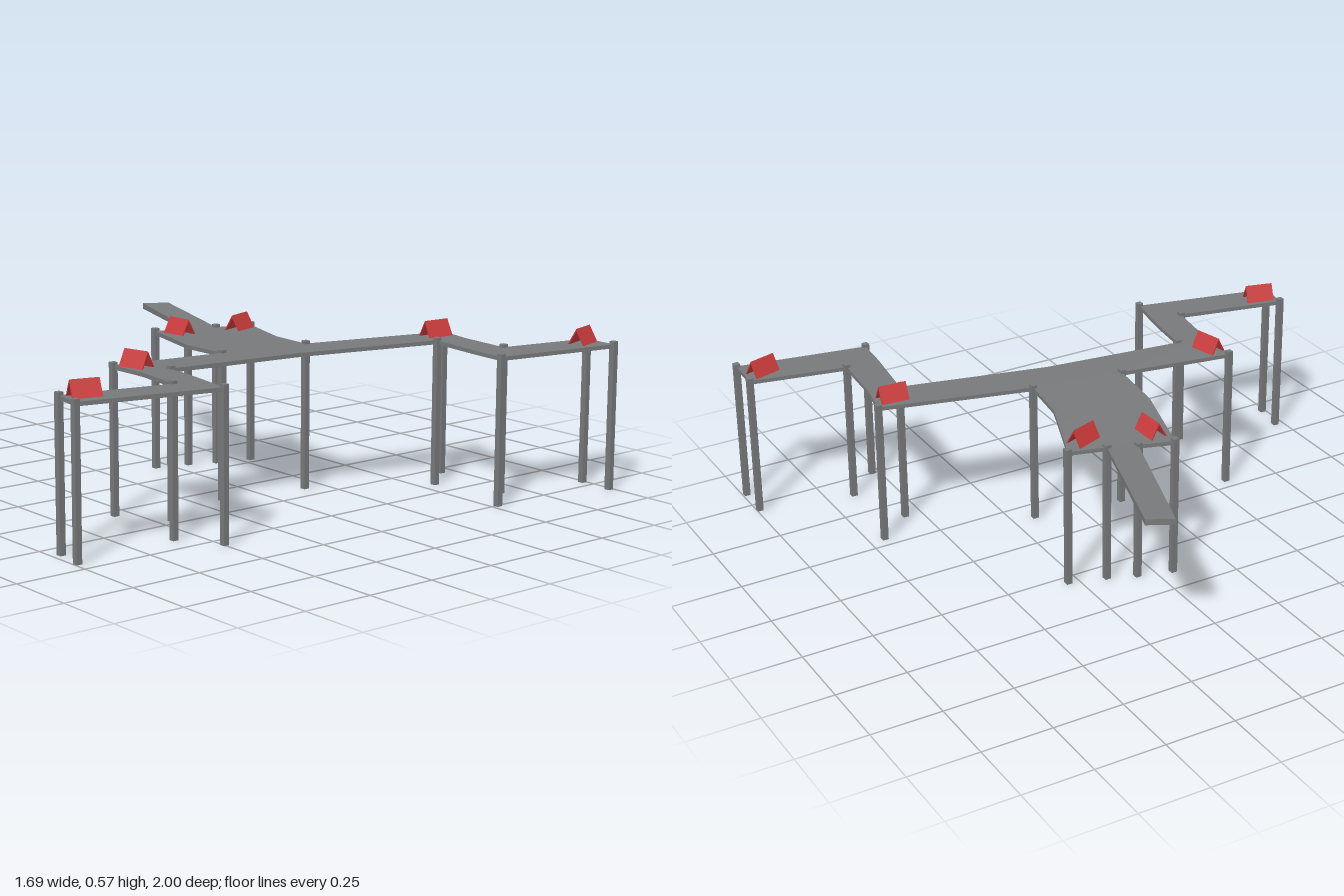
import * as THREE from 'three';

const grey = new THREE.MeshStandardMaterial({ color: 0x77797b, flatShading: true });
const red = new THREE.MeshStandardMaterial({ color: 0xc83a3a, flatShading: true, side: THREE.DoubleSide });

// Walkway outline as [x, z]
const outline = [
  [0.703, -0.989], [0.835, -0.985], [0.752, -0.525], [0.632, -0.533], [0.402, -0.561],
  [0.28, -0.05], [0.217, 0.453], [0.362, 0.468], [0.556, 0.498], [0.442, 0.987],
  [0.327, 0.969], [0.412, 0.589], [0.21, 0.563], [0.047, 0.562], [0.112, 0.157],
  [-0.10, 0.142], [-0.40, 0.057], [-0.36, -0.063], [-0.85, -0.223], [-0.805, -0.308],
  [-0.323, -0.16], [-0.287, -0.288], [-0.015, -0.188], [0.163, -0.168], [0.297, -0.694],
  [0.437, -0.668], [0.634, -0.653],
];

// Support posts as [x, z]
const posts = [
  [-0.398, 0.057], [-0.363, -0.063], [-0.323, -0.16], [-0.285, -0.288], [0.049, 0.562],
  [0.112, 0.157], [0.164, -0.168], [0.22, 0.453], [0.296, -0.694], [0.327, 0.969],
  [0.405, -0.561], [0.41, 0.589], [0.442, 0.987], [0.556, 0.498], [0.635, -0.653],
  [0.706, -0.989], [0.753, -0.525], [0.834, -0.985],
];

// Tents as [x, z, ridge direction x, ridge direction z]
const tents = [
  [0.748, -0.922, 0.28, 0.96], [0.333, -0.622, -0.08, 1], [-0.242, -0.203, 0.35, 1],
  [-0.306, 0.018, 1, -0.06], [0.119, 0.519, 1, -0.25], [0.388, 0.914, -0.27, 1],
];

// Height of the deck top: level on the right, dipping gently to the left
function deckTop(x) {
  if (x < -0.6) return 0.509;
  return 0.501 + 0.012 * THREE.MathUtils.smoothstep(x, -0.3, 0.15);
}

function makeDeck() {
  const shape = new THREE.Shape(outline.map(([x, z]) => new THREE.Vector2(x, -z)));
  const geo = new THREE.ExtrudeGeometry(shape, { depth: 1, bevelEnabled: false });
  geo.rotateX(-Math.PI / 2);
  const p = geo.attributes.position;
  for (let i = 0; i < p.count; i++) {
    const x = p.getX(i);
    const thickness = x < -0.6 ? 0.021 : 0.014;
    p.setY(i, deckTop(x) - (p.getY(i) > 0.5 ? 0 : thickness));
  }
  geo.computeVertexNormals();
  const deck = new THREE.Mesh(geo, grey);
  deck.name = 'walkwayDeck';
  return deck;
}

// Open-ended folded roof, ridge along z
function tentGeometry() {
  const w = 0.031, h = 0.056, t = 0.005;
  const s = new THREE.Shape([
    [-w, 0], [-w + t, 0], [0, h - t * 1.8], [w - t, 0], [w, 0], [0, h],
  ].map(([x, y]) => new THREE.Vector2(x, y)));
  return new THREE.ExtrudeGeometry(s, { depth: 0.1, bevelEnabled: false }).translate(0, 0, -0.05);
}

export function createModel() {
  const model = new THREE.Group();
  model.name = 'raisedWalkway';
  model.add(makeDeck());

  // Square posts, standing slightly proud of the deck
  const postGroup = new THREE.Group();
  postGroup.name = 'posts';
  for (const [x, z] of posts) {
    const h = deckTop(x) + 0.011;
    const post = new THREE.Mesh(new THREE.BoxGeometry(0.021, h, 0.021), grey);
    post.position.set(x, h / 2, z);
    post.name = 'post';
    postGroup.add(post);
  }
  model.add(postGroup);

  const tentGroup = new THREE.Group();
  tentGroup.name = 'tents';
  const geo = tentGeometry();
  for (const [x, z, dx, dz] of tents) {
    const tent = new THREE.Mesh(geo, red);
    tent.position.set(x, deckTop(x), z);
    tent.rotation.y = Math.atan2(dx, dz);
    tent.name = 'tent';
    tentGroup.add(tent);
  }
  model.add(tentGroup);
  return model;
}
